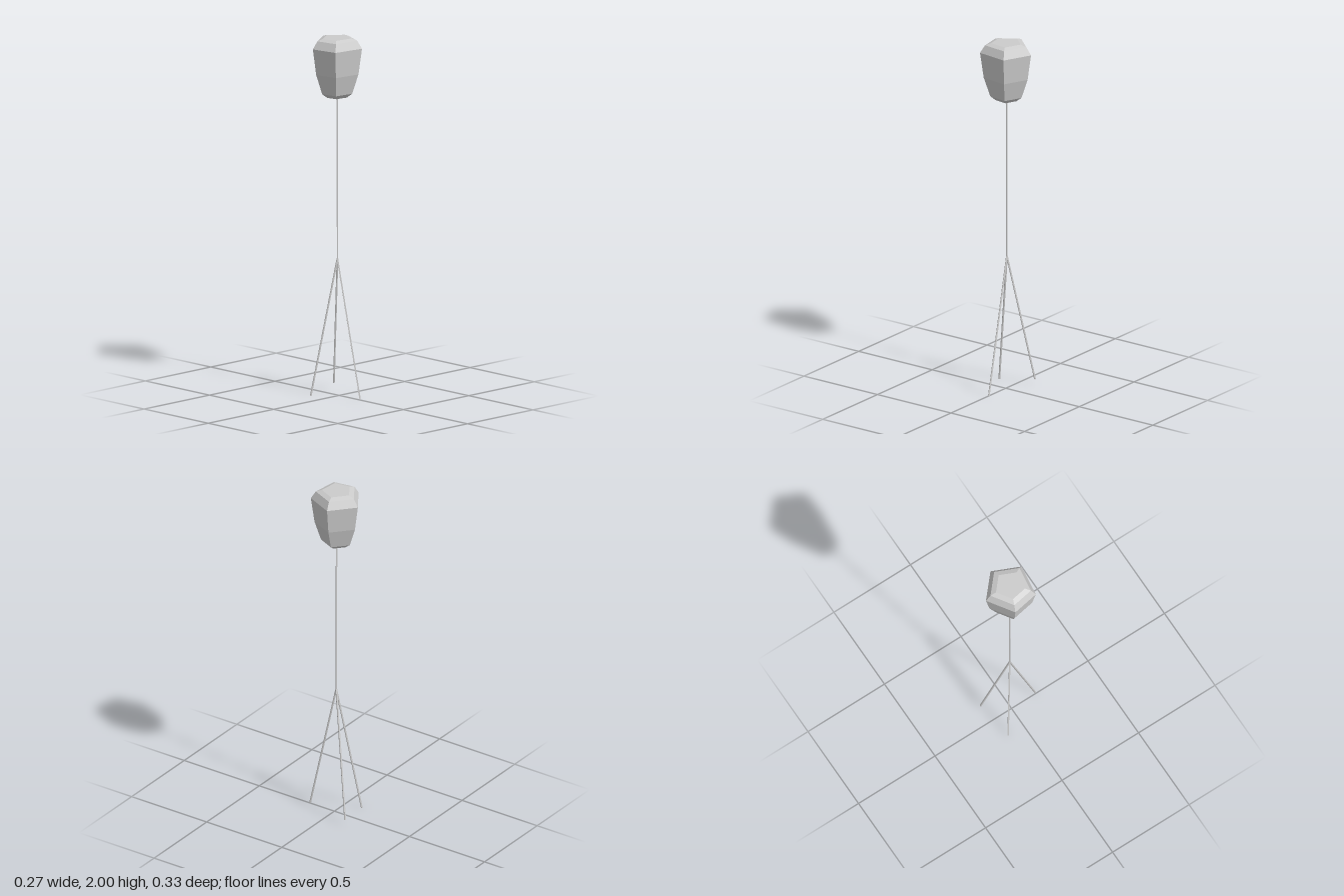
import * as THREE from 'three';

const material = new THREE.MeshStandardMaterial({ color: 0xcccccc, flatShading: true });
const AXIS = [-0.005, -0.014];

// Slightly irregular five-sided outline of the head at its widest, as [x, z]
const OUTLINE = [[0.008, -0.162], [0.137, -0.047], [0.067, 0.11], [-0.111, 0.086], [-0.137, -0.065]];

// Head rings from bottom to top, as [height, scale of outline]
const RINGS = [[1.667, 0.4], [1.69, 0.61], [1.80, 0.86], [1.945, 1], [1.988, 0.81], [1.999, 0.58]];

function headGeometry() {
  const n = OUTLINE.length, pos = [], index = [];
  for (const [y, s] of RINGS) {
    for (const [x, z] of OUTLINE) {
      pos.push(AXIS[0] + (x - AXIS[0]) * s, y, AXIS[1] + (z - AXIS[1]) * s);
    }
  }
  for (let r = 0; r < RINGS.length - 1; r++) {
    for (let i = 0; i < n; i++) {
      const j = (i + 1) % n, a = r * n, b = a + n;
      index.push(a + j, a + i, b + i, a + j, b + i, b + j);
    }
  }
  // Flat bottom and top
  const t = (RINGS.length - 1) * n;
  for (let i = 1; i < n - 1; i++) index.push(0, i, i + 1, t, t + i + 1, t + i);
  const g = new THREE.BufferGeometry();
  g.setAttribute('position', new THREE.Float32BufferAttribute(pos, 3));
  g.setIndex(index);
  const flat = g.toNonIndexed();
  flat.computeVertexNormals();
  return flat;
}

// Thin square rod between two points
function rod(name, from, to, radius) {
  const a = new THREE.Vector3(...from), b = new THREE.Vector3(...to);
  const dir = b.clone().sub(a);
  const g = new THREE.CylinderGeometry(radius, radius, dir.length(), 4);
  const mesh = new THREE.Mesh(g, material);
  mesh.name = name;
  mesh.position.copy(a).add(b).multiplyScalar(0.5);
  mesh.quaternion.setFromUnitVectors(new THREE.Vector3(0, 1, 0), dir.normalize());
  return mesh;
}

export function createModel() {
  const group = new THREE.Group();
  group.name = 'budOnTripod';

  const head = new THREE.Mesh(headGeometry(), material);
  head.name = 'head';
  group.add(head);

  // Stem and three splayed legs
  const joint = [-0.001, 0.765, -0.012];
  group.add(rod('stem', [-0.001, 0.755, -0.012], [-0.002, 1.675, -0.013], 0.005));
  const feet = {
    frontLeg: [0.004, 0.005, 0.159],
    backLeftLeg: [0.096, 0.035, -0.139],
    backRightLeg: [-0.118, 0.002, -0.1],
  };
  for (const [name, foot] of Object.entries(feet)) group.add(rod(name, joint, foot, 0.0055));

  return group;
}
